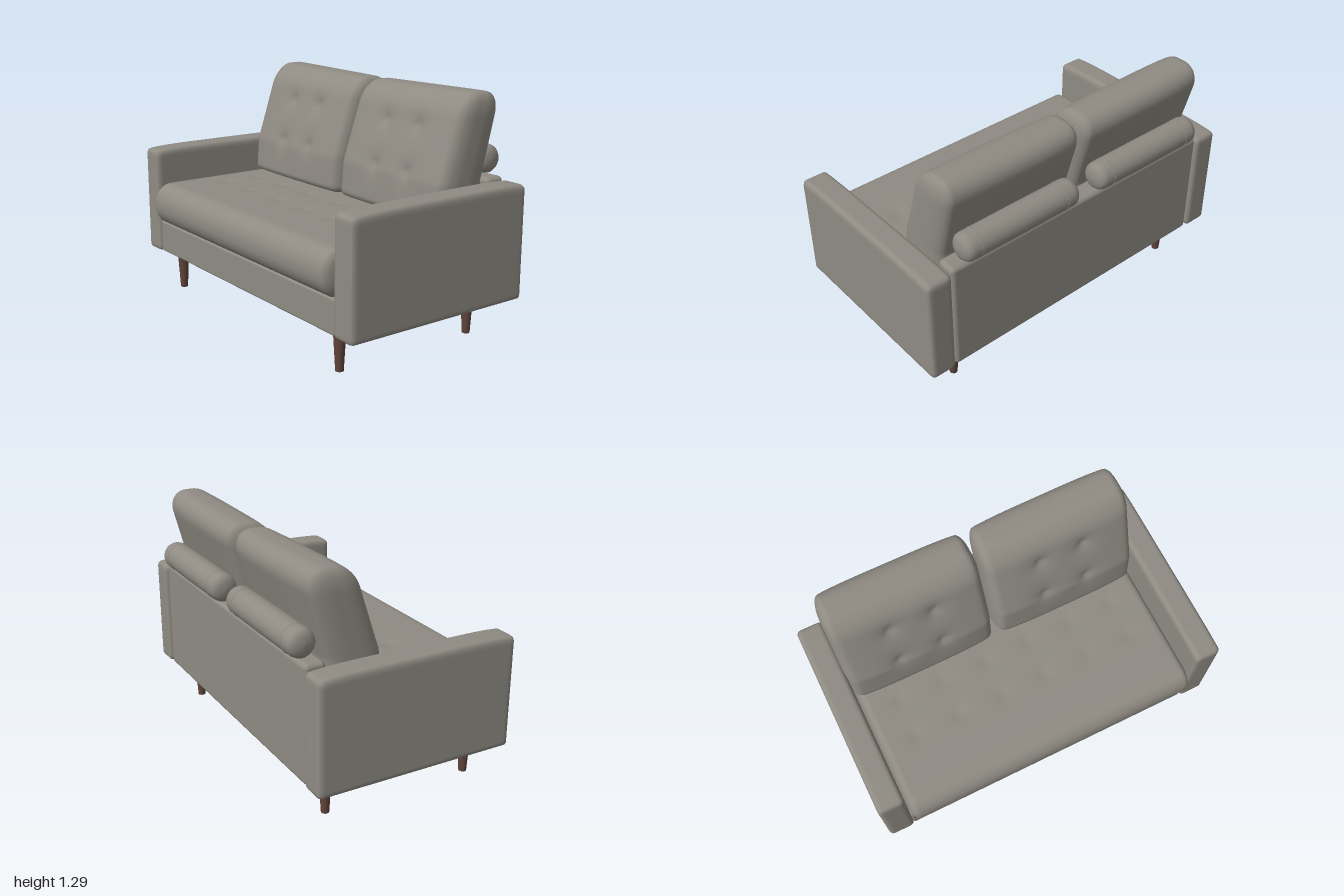
import * as THREE from 'three';
import { mergeVertices } from 'three/addons/utils/BufferGeometryUtils.js';
import { RoundedBoxGeometry } from 'three/addons/geometries/RoundedBoxGeometry.js';

const fabric = new THREE.MeshStandardMaterial({ color: 0x8f8b83 });
const wood = new THREE.MeshStandardMaterial({ color: 0x61443a });
fabric.name = 'greyFabric';
wood.name = 'darkWood';

function add(parent, name, geometry, material, x = 0, y = 0, z = 0) {
  const mesh = new THREE.Mesh(geometry, material);
  mesh.name = name;
  mesh.position.set(x, y, z);
  parent.add(mesh);
  return mesh;
}

// Box with a separate rounding radius per axis, then bent by a rule
function cushion(size, segments, radiusOf, rule) {
  const g = new THREE.BoxGeometry(...size, ...segments);
  g.deleteAttribute('uv');
  g.deleteAttribute('normal');
  const geometry = mergeVertices(g, 1e-5);
  const pos = geometry.attributes.position;
  const p = new THREE.Vector3();
  for (let i = 0; i < pos.count; i++) {
    p.fromBufferAttribute(pos, i);
    const radius = radiusOf(p);
    const v = p.toArray();
    const inner = v.map((c, k) => THREE.MathUtils.clamp(c, radius[k] - size[k] / 2, size[k] / 2 - radius[k]));
    const dir = new THREE.Vector3(...v.map((c, k) => (c - inner[k]) / radius[k])).normalize().toArray();
    p.set(...inner.map((c, k) => c + dir[k] * radius[k]));
    rule(p);
    pos.setXYZ(i, p.x, p.y, p.z);
  }
  geometry.computeVertexNormals();
  return geometry;
}

// Sum of button dimples on a plane, each a soft pit with a wider hollow
function tufts(a, b, columns, rows) {
  let sum = 0;
  for (const c of columns) for (const r of rows) {
    const d2 = (a - c) ** 2 + (b - r) ** 2;
    sum += 0.6 * Math.exp(-d2 / 0.0009) + 0.5 * Math.exp(-d2 / 0.006);
  }
  return sum;
}

function backCushionGeometry(side) {
  const h = 0.655, midY = 0.63 + h / 2;
  return cushion([0.845, h, 0.315], [48, 40, 20],
    (p) => [0.045, p.y > 0 ? 0.12 : 0.04, p.z > 0 ? 0.12 : 0.14],
    (p) => {
      const u = p.x / 0.4225;
      const rise = p.y + midY - 0.84;
      const taper = 1 - 0.25 * Math.max(0, rise);
      const dimple = p.z > 0.04 ? 0.022 * tufts(p.x, p.y, [-0.125, 0.125], [-0.09, 0.145]) : 0;
      p.z = p.z * taper * (1 - 0.12 * u ** 4) - dimple;
      // lean backwards above the arm line
      p.z += -0.275 - (rise > 0 ? 0.3 : 0.08) * rise;
      // upper edge lifts toward the outer corner
      if (p.y > 0) p.y += 0.007 * side * u * (p.y / h) * 2;
      p.y += midY;
    });
}

function seatCushionGeometry() {
  return cushion([1.7, 0.24, 1.03], [96, 16, 56],
    () => [0.035, 0.115, 0.1],
    (p) => {
      if (p.y > 0.05) {
        p.y -= 0.009 * tufts(p.x, p.z, [-0.65, -0.39, -0.13, 0.13, 0.39, 0.65], [-0.1, 0.12]);
      }
    });
}

// Round pillow with domed ends and a piped seam near each end
function bolster(name, x) {
  const group = new THREE.Group();
  group.name = name;
  const profile = [[0, -0.365], [0.035, -0.362], [0.06, -0.352], [0.073, -0.336], [0.077, -0.315],
    [0.077, -0.27], [0.078, 0], [0.077, 0.27], [0.077, 0.315], [0.073, 0.336], [0.06, 0.352],
    [0.035, 0.362], [0, 0.365]].map(([r, y]) => new THREE.Vector2(r, y));
  const body = new THREE.LatheGeometry(profile, 40);
  body.rotateZ(Math.PI / 2);
  add(group, name + 'Body', body, fabric);
  for (const s of [-1, 1]) {
    const seam = new THREE.TorusGeometry(0.0765, 0.003, 6, 40);
    seam.rotateY(Math.PI / 2);
    add(group, name + 'Seam', seam, fabric, s * 0.27);
  }
  group.position.set(x, 0.925, -0.518);
  return group;
}

export function createModel() {
  const sofa = new THREE.Group();
  sofa.name = 'sofa';

  // Frame: base and back panel
  add(sofa, 'base', new RoundedBoxGeometry(1.71, 0.185, 1.05, 3, 0.012), fabric, 0, 0.3175, 0.02);
  add(sofa, 'backPanel', new RoundedBoxGeometry(1.7, 0.632, 0.115, 4, 0.025), fabric, 0, 0.532, -0.488);

  // Arms with a slightly crowned top
  for (const s of [-1, 1]) {
    const arm = cushion([0.147, 0.617, 1.11], [20, 40, 64],
      (p) => [0.028, p.y > 0 ? 0.03 : 0.014, 0.022],
      (p) => { if (p.y > 0) p.y -= 0.012 * (p.z / 0.555) ** 6 * (p.y / 0.3); });
    add(sofa, s > 0 ? 'leftArm' : 'rightArm', arm, fabric, s * 0.9265, 0.5305, 0);
  }

  // Cushions
  add(sofa, 'seatCushion', seatCushionGeometry(), fabric, 0, 0.52, 0.081);
  for (const s of [-1, 1]) {
    const label = s > 0 ? 'left' : 'right';
    add(sofa, label + 'BackCushion', backCushionGeometry(s), fabric, s * 0.43 - 0.007);
    sofa.add(bolster(label + 'Bolster', s * 0.43 - 0.005));
  }

  // Tapered legs
  for (const x of [-0.78, 0.765]) for (const z of [0.445, -0.398]) {
    add(sofa, z > 0 ? 'frontLeg' : 'backLeg', new THREE.CylinderGeometry(0.034, 0.021, 0.23, 24), wood, x, 0.115, z);
  }
  return sofa;
}
